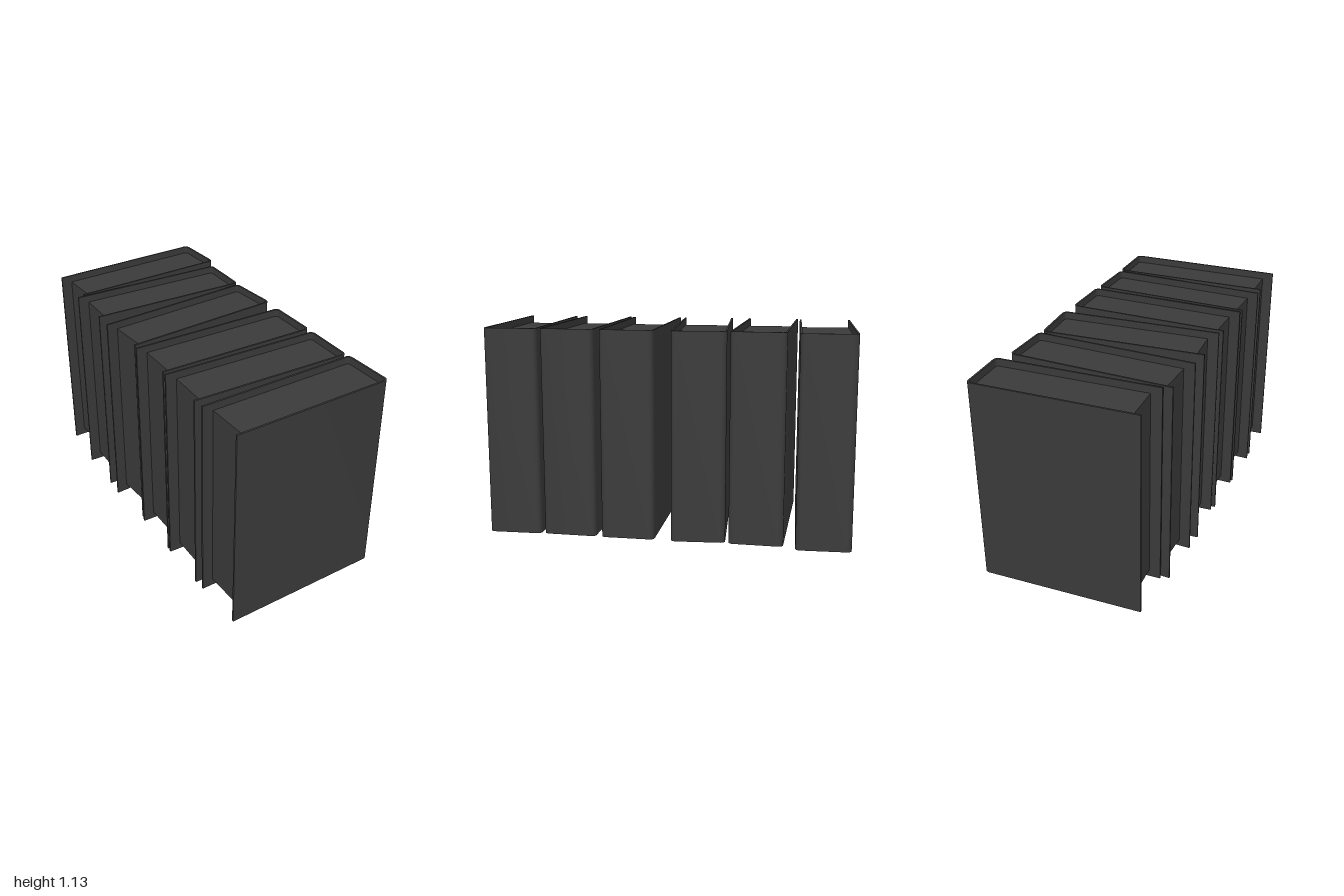
import * as THREE from 'three';
import { toCreasedNormals } from 'three/addons/utils/BufferGeometryUtils.js';

const HEIGHT = 1.13, HALF_W = 0.445, HALF_T = 0.146, BOARD = 0.01, INSET = 0.04, CORNER = 0.026;

// U-shaped jacket seen from above: two boards joined by a spine with rounded edges
function coverGeometry() {
  const r = CORNER, ri = CORNER - BOARD;
  const xi = HALF_W - BOARD, ti = HALF_T - BOARD;
  const s = new THREE.Shape();
  s.moveTo(-HALF_W, -HALF_T);
  s.lineTo(HALF_W - r, -HALF_T);
  s.absarc(HALF_W - r, -HALF_T + r, r, -Math.PI / 2, 0, false);
  s.absarc(HALF_W - r, HALF_T - r, r, 0, Math.PI / 2, false);
  s.lineTo(-HALF_W, HALF_T);
  s.lineTo(-HALF_W, ti);
  s.lineTo(xi - ri, ti);
  s.absarc(xi - ri, ti - ri, ri, Math.PI / 2, 0, true);
  s.absarc(xi - ri, -ti + ri, ri, 0, -Math.PI / 2, true);
  s.lineTo(-HALF_W, -ti);
  s.closePath();
  const g = new THREE.ExtrudeGeometry(s, { depth: HEIGHT, bevelEnabled: false, curveSegments: 4 });
  g.rotateX(-Math.PI / 2);
  return toCreasedNormals(g, 0.7);
}

// Page block, set back from the top, bottom and open edge of the boards
function pagesGeometry() {
  const x0 = -0.385, x1 = HALF_W - BOARD;
  const g = new THREE.BoxGeometry(x1 - x0, HEIGHT - 2 * INSET, 2 * (HALF_T - BOARD));
  g.translate((x0 + x1) / 2, HEIGHT / 2, 0);
  return g;
}

export function createModel() {
  const model = new THREE.Group();
  model.name = 'bookRow';
  const material = new THREE.MeshStandardMaterial({ color: 0x3a3a3a });
  const cover = coverGeometry();
  const pages = pagesGeometry();

  // Each book: centre x, centre z, turn about the vertical
  const books = [
    [0.02, -0.836, 0.042],
    [-0.02, -0.505, -0.02],
    [-0.02, -0.155, 0.075],
    [-0.02, 0.197, 0],
    [-0.026, 0.515, -0.015],
    [-0.02, 0.841, 0.026],
  ];
  books.forEach(([x, z, turn], i) => {
    const book = new THREE.Group();
    book.name = `book${i + 1}`;
    const coverMesh = new THREE.Mesh(cover, material);
    coverMesh.name = 'cover';
    const pagesMesh = new THREE.Mesh(pages, material);
    pagesMesh.name = 'pages';
    book.add(coverMesh, pagesMesh);
    book.position.set(x, 0, z);
    book.rotation.y = turn;
    model.add(book);
  });
  return model;
}
